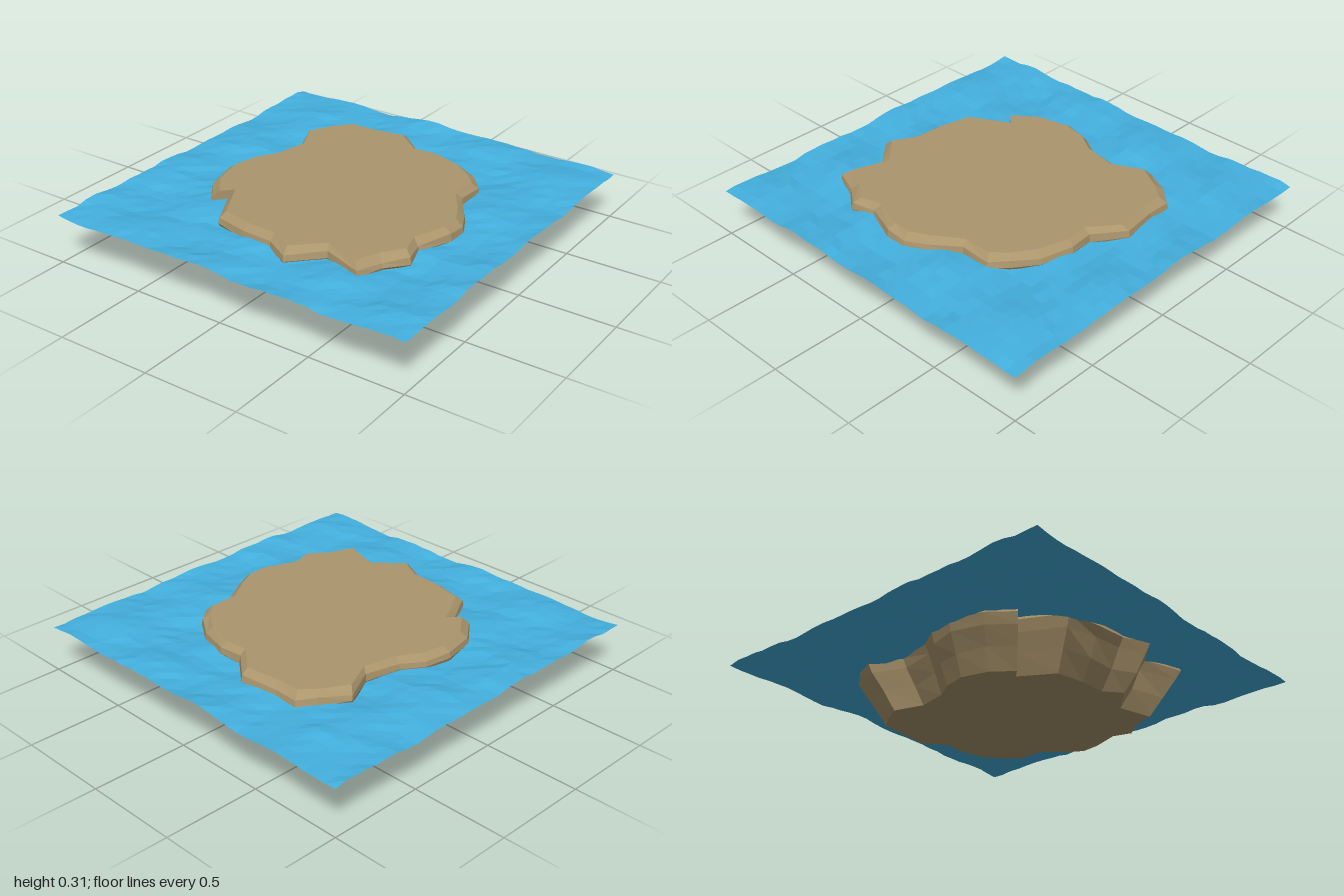
import * as THREE from 'three';

// Shore outline as [x, z], clockwise seen from above
const OUTLINE = [
  [-0.09, -0.71], [0.06, -0.59], [0.19, -0.60], [0.36, -0.55], [0.48, -0.47], [0.55, -0.39],
  [0.55, -0.23], [0.65, -0.08], [0.70, 0.02], [0.70, 0.13], [0.63, 0.31], [0.665, 0.43],
  [0.58, 0.54], [0.53, 0.67], [0.32, 0.60], [0.17, 0.74], [0.04, 0.67], [-0.13, 0.66],
  [-0.31, 0.62], [-0.43, 0.40], [-0.49, 0.46], [-0.59, 0.33], [-0.63, 0.15], [-0.60, 0.01],
  [-0.53, -0.10], [-0.49, -0.29], [-0.57, -0.46], [-0.49, -0.60], [-0.42, -0.68], [-0.29, -0.68],
];

// Rings from the top edge to the base: [scale, height]
const RINGS = [[0.935, 0.315], [0.99, 0.287], [1, 0.255], [0.96, 0.2], [0.89, 0.11], [0.805, 0.008]];

// Repeatable value in -1..1 for a grid point
function noise(i, j) {
  const s = Math.sin(i * 127.1 + j * 311.7) * 43758.5453;
  return (s - Math.floor(s)) * 2 - 1;
}

// Faceted geometry from shared points and triangle corners
function faceted(points, index) {
  const geometry = new THREE.BufferGeometry();
  geometry.setAttribute('position', new THREE.Float32BufferAttribute(points, 3));
  geometry.setIndex(index);
  const flat = geometry.toNonIndexed();
  flat.computeVertexNormals();
  return flat;
}

function islandGeometry() {
  const n = OUTLINE.length;
  const points = [];
  const index = [];
  RINGS.forEach(([scale, y], r) => {
    OUTLINE.forEach(([x, z], i) => {
      const s = scale + (r > 2 && r < 5 ? 0.008 * noise(i, r) : 0);
      const lift = r === 0 ? 0 : 0.007 * noise(i + 9, r);
      points.push(x * s, Math.max(0, y + lift), z * s);
    });
  });
  // Sloping sides
  for (let r = 0; r < RINGS.length - 1; r++) {
    for (let i = 0; i < n; i++) {
      const a = r * n + i;
      const b = r * n + (i + 1) % n;
      index.push(a, b, a + n, b, b + n, a + n);
    }
  }
  // Flat top and base
  const contour = OUTLINE.map(([x, z]) => new THREE.Vector2(x, z));
  const base = (RINGS.length - 1) * n;
  for (const [a, b, c] of THREE.ShapeUtils.triangulateShape(contour, [])) {
    const p = contour[a], q = contour[b], s = contour[c];
    const up = (q.y - p.y) * (s.x - p.x) - (q.x - p.x) * (s.y - p.y) > 0;
    const [u, v] = up ? [b, c] : [c, b];
    index.push(a, u, v, base + a, base + v, base + u);
  }
  return faceted(points, index);
}

function waterGeometry() {
  const plane = new THREE.PlaneGeometry(2, 2, 32, 32).rotateX(-Math.PI / 2);
  const p = plane.attributes.position;
  // Low choppy waves
  for (let i = 0; i < p.count; i++) {
    const x = p.getX(i), z = p.getZ(i);
    const wave = 0.007 * Math.sin(13 * x + 3 * z) + 0.006 * Math.sin(12 * z - 4 * x + 1)
      + 0.003 * Math.sin(23 * z + 9 * x);
    p.setY(i, 0.255 + wave + 0.004 * noise(i % 33, Math.floor(i / 33)));
  }
  const flat = plane.toNonIndexed();
  flat.computeVertexNormals();
  return flat;
}

export function createModel() {
  const sand = new THREE.MeshStandardMaterial({ color: 0xab956c });
  const sea = new THREE.MeshStandardMaterial({ color: 0x43b0de, side: THREE.DoubleSide });
  sand.name = 'sand';
  sea.name = 'sea blue';

  const island = new THREE.Mesh(islandGeometry(), sand);
  island.name = 'island';
  const water = new THREE.Mesh(waterGeometry(), sea);
  water.name = 'water';

  const model = new THREE.Group();
  model.name = 'islandInWater';
  model.add(island, water);
  return model;
}
